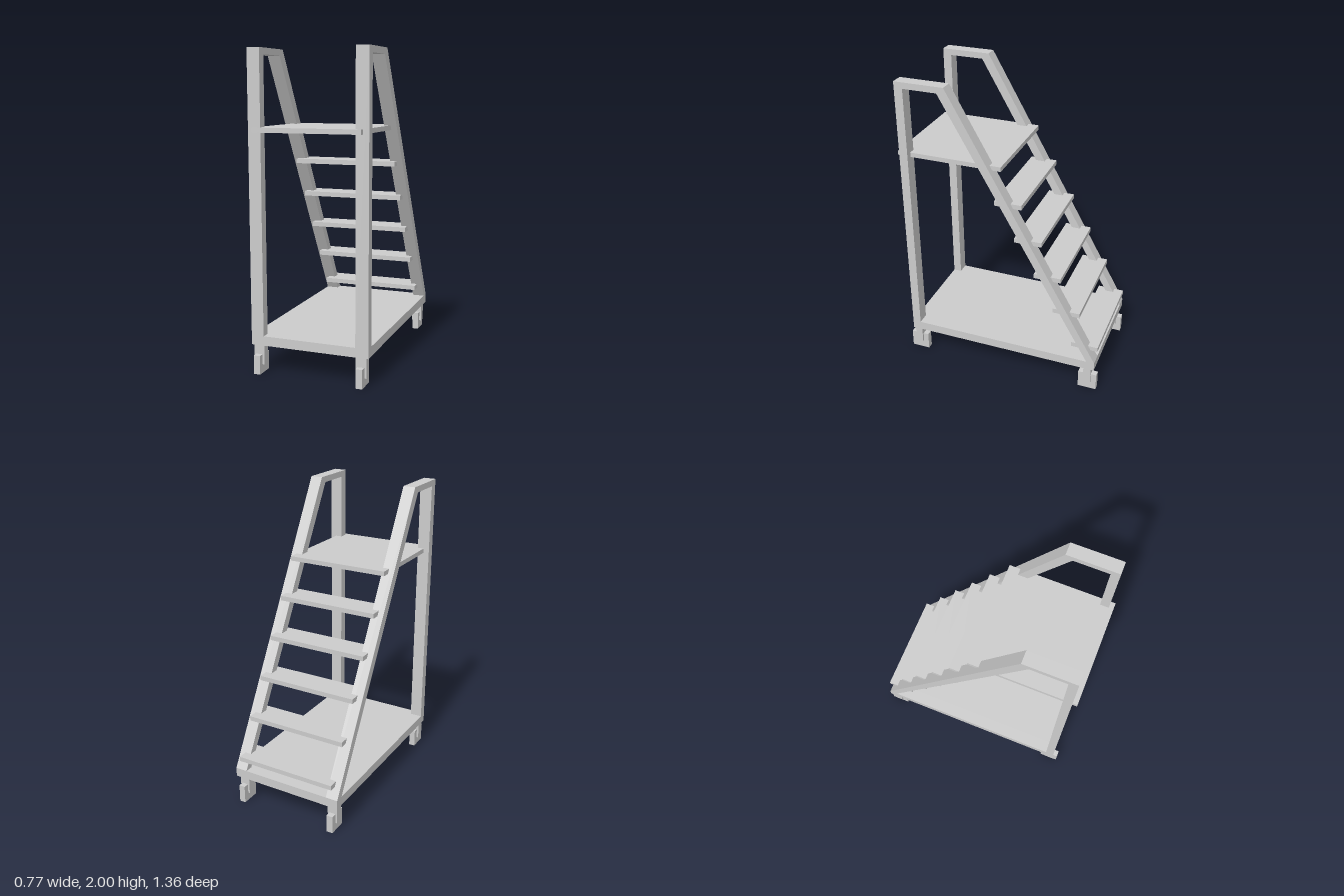
import * as THREE from 'three';

const material = new THREE.MeshStandardMaterial({ color: 0xcccccc, flatShading: true });

// Box given by its min and max along each axis
function box(name, [x0, x1], [y0, y1], [z0, z1]) {
  const geometry = new THREE.BoxGeometry(x1 - x0, y1 - y0, z1 - z0);
  geometry.translate((x0 + x1) / 2, (y0 + y1) / 2, (z0 + z1) / 2);
  const mesh = new THREE.Mesh(geometry, material);
  mesh.name = name;
  return mesh;
}

const points = list => list.map(([z, y]) => new THREE.Vector2(z, y));

// Side frame: a closed tube outline in the z-y plane, extruded across x
function sideFrame(name, xMax, width) {
  const shape = new THREE.Shape(points([
    [0.65, 0.18], [0.65, 2], [0.325, 2], [-0.667, 0.24], [-0.667, 0.18],
  ]));
  shape.holes.push(new THREE.Path(points([
    [0.594, 0.24], [-0.613, 0.24], [0.371, 1.96], [0.594, 1.96],
  ])));
  const geometry = new THREE.ExtrudeGeometry(shape, { depth: width, bevelEnabled: false });
  geometry.rotateY(-Math.PI / 2);
  geometry.translate(xMax, 0, 0);
  const mesh = new THREE.Mesh(geometry, material);
  mesh.name = name;
  return mesh;
}

// Caster: a block wheel held in a two-pronged fork
function caster(name, x, z) {
  const group = new THREE.Group();
  group.name = name;
  group.add(
    box('wheel', [-0.021, 0.021], [0, 0.12], [-0.062, 0.062]),
    box('forkCrown', [-0.034, 0.034], [0.12, 0.18], [-0.025, 0.025]),
    box('forkProngOuter', [0.021, 0.034], [0.055, 0.12], [-0.025, 0.025]),
    box('forkProngInner', [-0.034, -0.021], [0.055, 0.12], [-0.025, 0.025]),
  );
  group.position.set(x, 0, z);
  return group;
}

export function createModel() {
  const model = new THREE.Group();
  model.name = 'rollingStepLadder';
  const inner = 0.302, outer = 0.384, stepHalf = 0.345;

  // Side frames and base floor
  model.add(sideFrame('leftFrame', outer, outer - inner));
  model.add(sideFrame('rightFrame', -inner, outer - inner));
  model.add(box('baseFloor', [-inner, inner], [0.18, 0.24], [-0.667, 0.65]));

  // Standing platform
  model.add(box('platform', [-stepHalf, stepHalf], [1.5, 1.53], [-0.012, 0.68]));

  // Steps down the sloped back
  for (let i = 1; i <= 5; i++) {
    const top = 1.53 - 0.238 * i;
    const back = -0.012 - 0.1325 * i;
    model.add(box('step' + i, [-stepHalf, stepHalf], [top - 0.031, top], [back, back + 0.18]));
  }

  // Casters
  for (const [side, sx] of [['Left', 1], ['Right', -1]]) {
    model.add(caster('front' + side + 'Caster', sx * 0.336, 0.618));
    model.add(caster('back' + side + 'Caster', sx * 0.336, -0.618));
  }
  return model;
}
